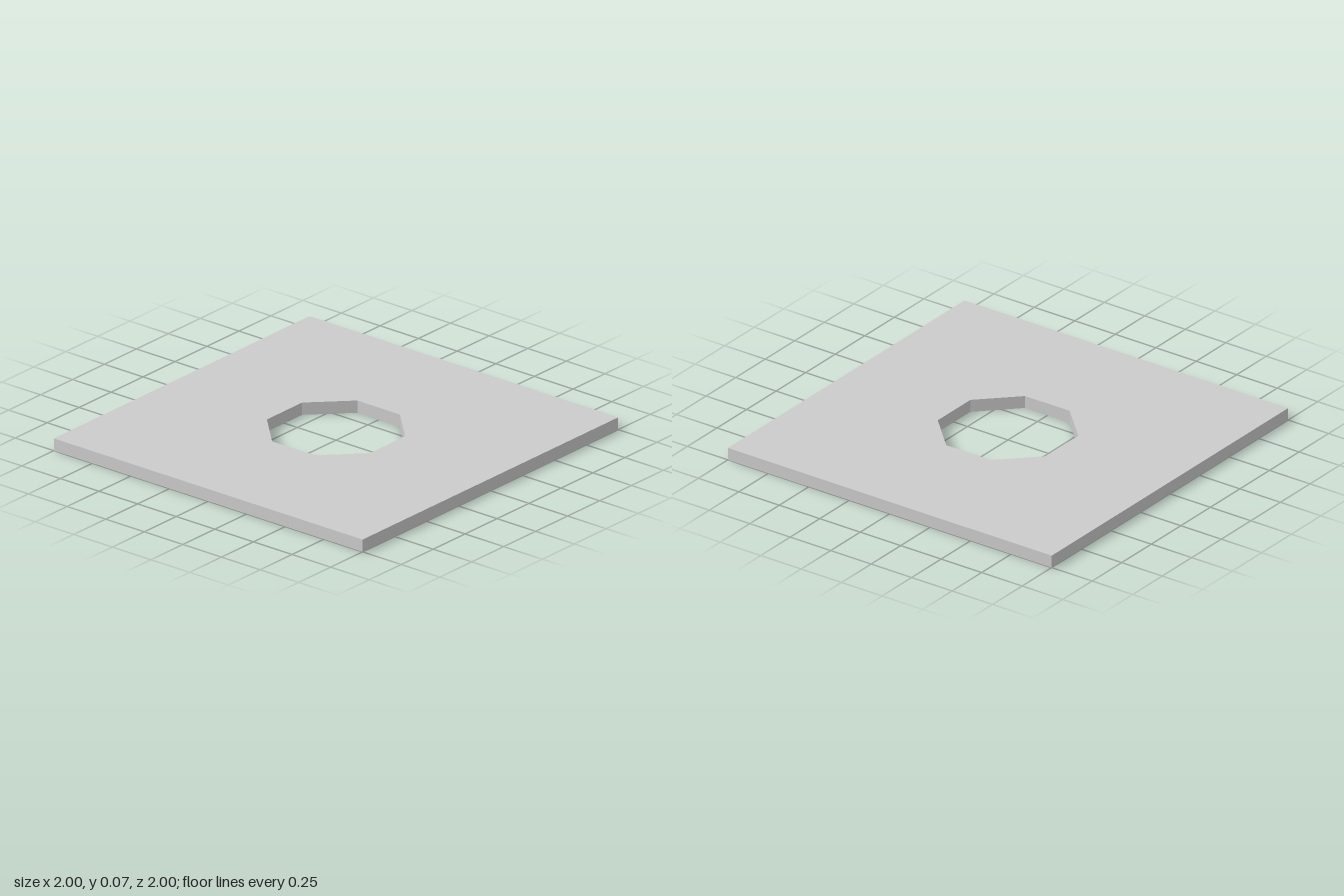
import * as THREE from 'three';

const HALF = 1;          // half width of the square plate
const THICKNESS = 0.0667;
const APOTHEM = 0.3333;  // centre of the hole to each flat side
const SIDES = 8;

export function createModel() {
  const group = new THREE.Group();
  group.name = 'plateWithOctagonalHole';

  // Square outline
  const outline = new THREE.Shape([
    new THREE.Vector2(-HALF, -HALF),
    new THREE.Vector2(HALF, -HALF),
    new THREE.Vector2(HALF, HALF),
    new THREE.Vector2(-HALF, HALF),
  ]);

  // Octagonal hole with flat sides facing the plate edges
  const radius = APOTHEM / Math.cos(Math.PI / SIDES);
  const corners = [];
  for (let i = 0; i < SIDES; i++) {
    const angle = -((i + 0.5) / SIDES) * Math.PI * 2;
    corners.push(new THREE.Vector2(radius * Math.cos(angle), radius * Math.sin(angle)));
  }
  outline.holes.push(new THREE.Path(corners));

  // Extruded plate, laid flat on the ground
  const geometry = new THREE.ExtrudeGeometry(outline, { depth: THICKNESS, bevelEnabled: false });
  geometry.rotateX(-Math.PI / 2);

  const plate = new THREE.Mesh(
    geometry,
    new THREE.MeshStandardMaterial({ color: 0xcccccc, flatShading: true }),
  );
  plate.name = 'plate';
  group.add(plate);
  return group;
}
